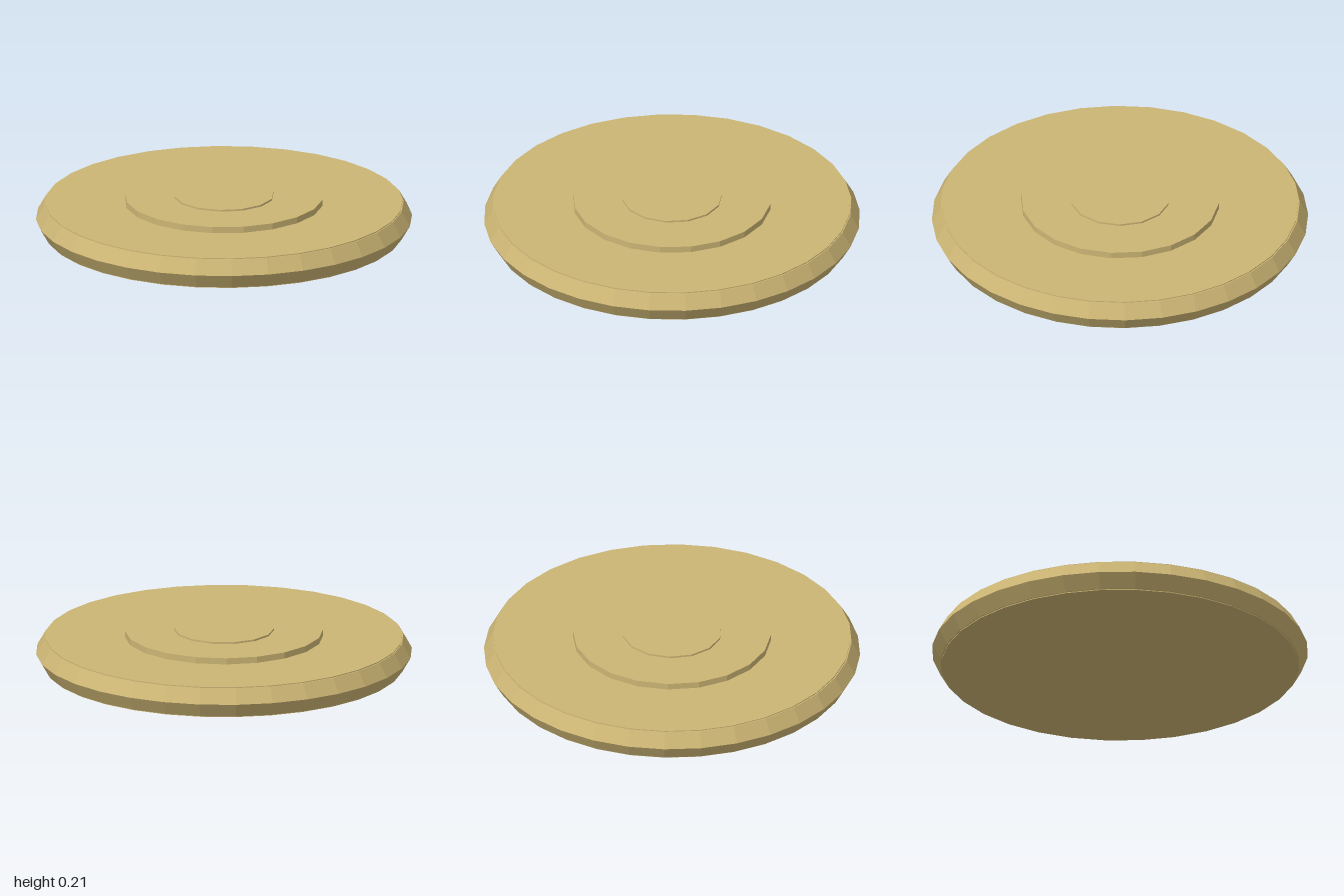
import * as THREE from 'three';

export function createModel() {
  const model = new THREE.Group();
  model.name = 'steppedDisc';
  const brass = new THREE.MeshStandardMaterial({ color: 0xccb574, flatShading: true });
  brass.name = 'pale brass';

  const add = (name, geometry, y) => {
    const mesh = new THREE.Mesh(geometry, brass);
    mesh.name = name;
    mesh.position.y = y;
    model.add(mesh);
  };

  // Stacked discs: name, radius, bottom, top, sides
  const discs = [
    ['baseDisc', 0.949, 0, 0.166, 32],
    ['raisedStep', 0.527, 0.15, 0.2, 20],
    ['centreCap', 0.265, 0.19, 0.21, 14],
  ];
  for (const [name, r, y0, y1, sides] of discs) {
    add(name, new THREE.CylinderGeometry(r, r, y1 - y0, sides), (y0 + y1) / 2);
  }

  // Faceted rim with a hexagonal section
  add('rim', new THREE.TorusGeometry(0.91, 0.09, 6, 32).rotateX(-Math.PI / 2), 0.083);

  return model;
}
